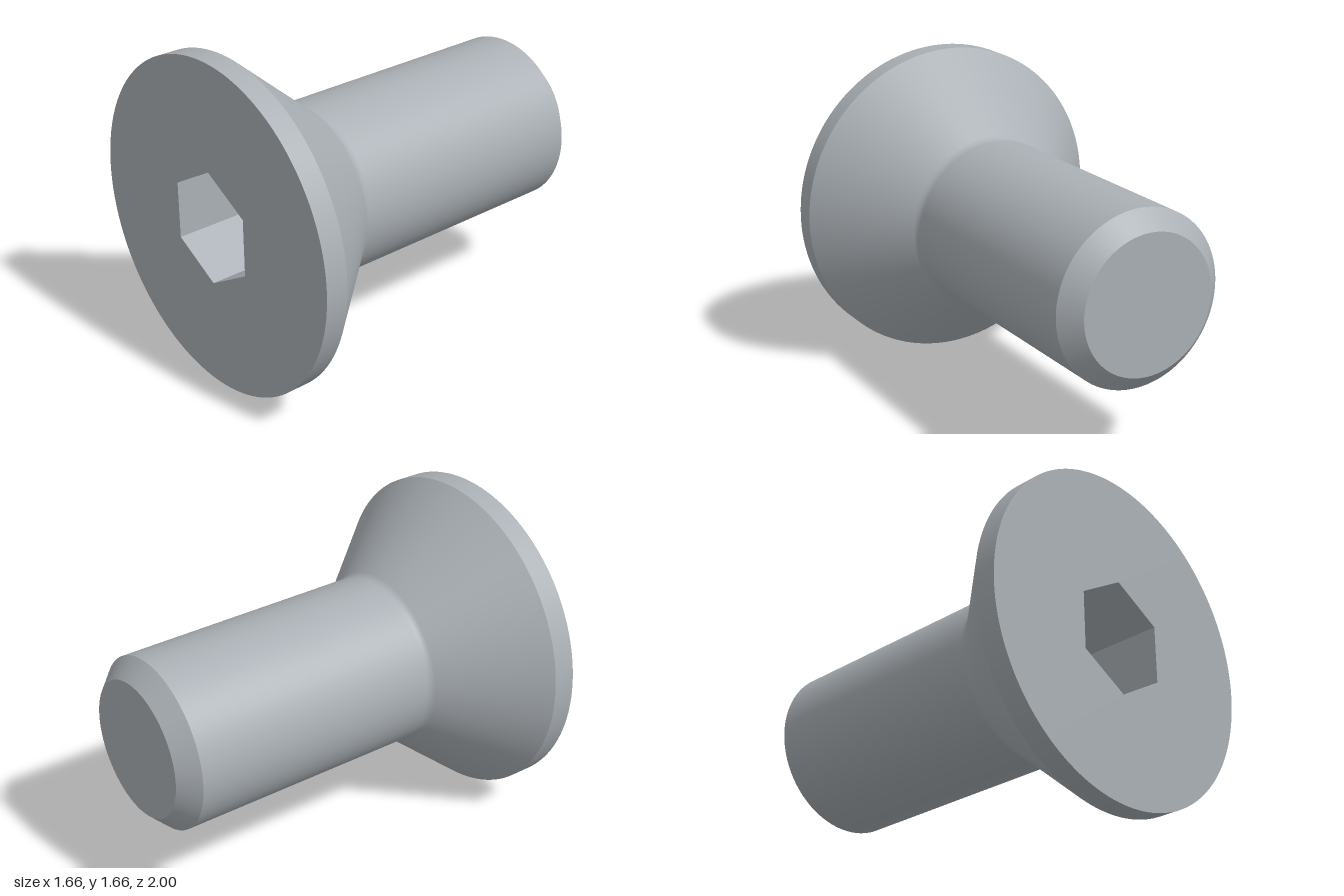
import * as THREE from 'three';

const HEAD_R = 0.83, SHANK_R = 0.435, TIP_R = 0.345;
const HEX_R = 0.289, DRILL_R = 0.249, SOCKET_Z = 0.59, DRILL_Z = 0.446;
const SEGMENTS = 128;

export function createModel() {
  const group = new THREE.Group();
  const steel = new THREE.MeshStandardMaterial({ color: 0xaab0b5 });
  steel.name = 'steel grey';

  const add = (name, geometry) => {
    const mesh = new THREE.Mesh(geometry, steel);
    mesh.name = name;
    mesh.position.y = HEAD_R;
    group.add(mesh);
  };

  // Surface turned about the z axis; profile is a list of [radius, z]
  const turned = (profile, segments = SEGMENTS) =>
    new THREE.LatheGeometry(profile.map(([r, z]) => new THREE.Vector2(r, z)), segments)
      .rotateX(Math.PI / 2);

  const hexPoints = () => Array.from({ length: 6 }, (_, i) => {
    const a = Math.PI / 2 + i * Math.PI / 3;
    return new THREE.Vector2(HEX_R * Math.cos(a), HEX_R * Math.sin(a));
  });
  const circle = (r) => new THREE.Path().absarc(0, 0, r, 0, Math.PI * 2, false);

  // Shank tip and chamfer
  add('shankEnd', turned([[0, -1], [TIP_R, -1]]));
  add('shankChamfer', turned([[TIP_R, -1], [SHANK_R, -0.91]]));

  // Shank blending through a small fillet into the countersunk cone
  const fillet = new THREE.QuadraticBezierCurve(
    new THREE.Vector2(SHANK_R, 0.395),
    new THREE.Vector2(SHANK_R, 0.42),
    new THREE.Vector2(0.452, 0.44)
  ).getPoints(10).map((p) => [p.x, p.y]);
  add('shankAndCone', turned([[SHANK_R, -0.91], ...fillet, [HEAD_R, 0.885]]));

  // Head rim
  add('headRim', turned([[HEAD_R, 0.885], [HEAD_R, 1]]));

  // Front face with hexagonal opening
  const face = new THREE.Shape(circle(HEAD_R).getPoints(SEGMENTS));
  face.holes.push(new THREE.Path(hexPoints()));
  add('headFace', new THREE.ShapeGeometry(face).translate(0, 0, 1));

  // Hex socket walls, facing inward
  const walls = turned([[HEX_R, 1], [HEX_R, SOCKET_Z]], 6).toNonIndexed();
  walls.computeVertexNormals();
  add('socketWalls', walls);

  // Flat corners of the socket floor around the drilled cone
  const floor = new THREE.Shape(hexPoints());
  floor.holes.push(new THREE.Path(circle(DRILL_R).getPoints(SEGMENTS)));
  add('socketFloor', new THREE.ShapeGeometry(floor).translate(0, 0, SOCKET_Z));
  add('socketDrillPoint', turned([[DRILL_R, SOCKET_Z], [0, DRILL_Z]]));

  return group;
}
